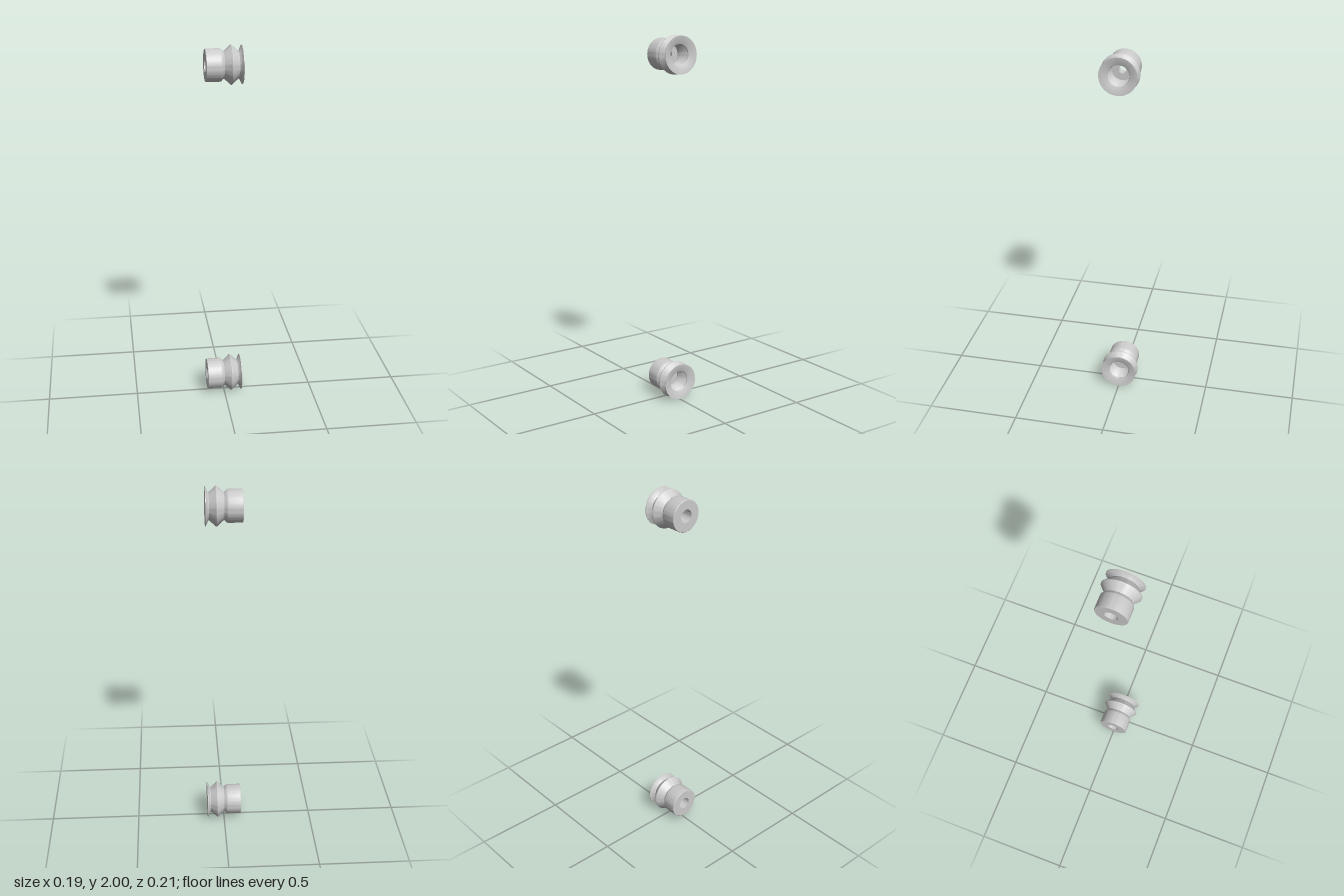
import * as THREE from 'three';
import { toCreasedNormals } from 'three/addons/utils/BufferGeometryUtils.js';

// Closed section of the bellows cup as [radius, distance along the axis]
const SECTION = [
  // mounting end and sleeve
  [0.035, -0.097], [0.083, -0.097], [0.085, -0.095], [0.085, -0.021], [0.083, -0.015],
  // outer bellows fold
  [0.072, -0.004], [0.07, -0.001], [0.072, 0.002],
  [0.099, 0.032], [0.102, 0.035], [0.103, 0.038], [0.102, 0.041], [0.099, 0.044],
  [0.072, 0.074], [0.07, 0.077], [0.072, 0.08],
  // flared lip
  [0.1, 0.093], [0.1, 0.096], [0.098, 0.096], [0.057, 0.081], [0.055, 0.077], [0.057, 0.073],
  // inner bellows fold
  [0.083, 0.045], [0.087, 0.038], [0.083, 0.031], [0.057, 0.003], [0.055, -0.005],
  // chamber floor, narrow bore and mounting socket
  [0.055, -0.015], [0.02, -0.015], [0.02, -0.03], [0.035, -0.03], [0.035, -0.097],
];

function createCup(name, y, geometry, material) {
  const cup = new THREE.Mesh(geometry, material);
  cup.name = name;
  cup.position.y = y;
  return cup;
}

export function createModel() {
  const model = new THREE.Group();
  model.name = 'suctionCupPair';
  const material = new THREE.MeshStandardMaterial({ color: 0xcccccc });

  // Revolve the section and lay its axis along x, lip towards +x
  const points = SECTION.map(([r, a]) => new THREE.Vector2(r, a));
  const lathe = new THREE.LatheGeometry(points, 64).rotateZ(-Math.PI / 2);
  const geometry = toCreasedNormals(lathe, 0.75);

  // Two identical cups, far apart vertically
  model.add(createCup('lowerSuctionCup', 0.103, geometry, material));
  model.add(createCup('upperSuctionCup', 1.897, geometry, material));
  return model;
}
